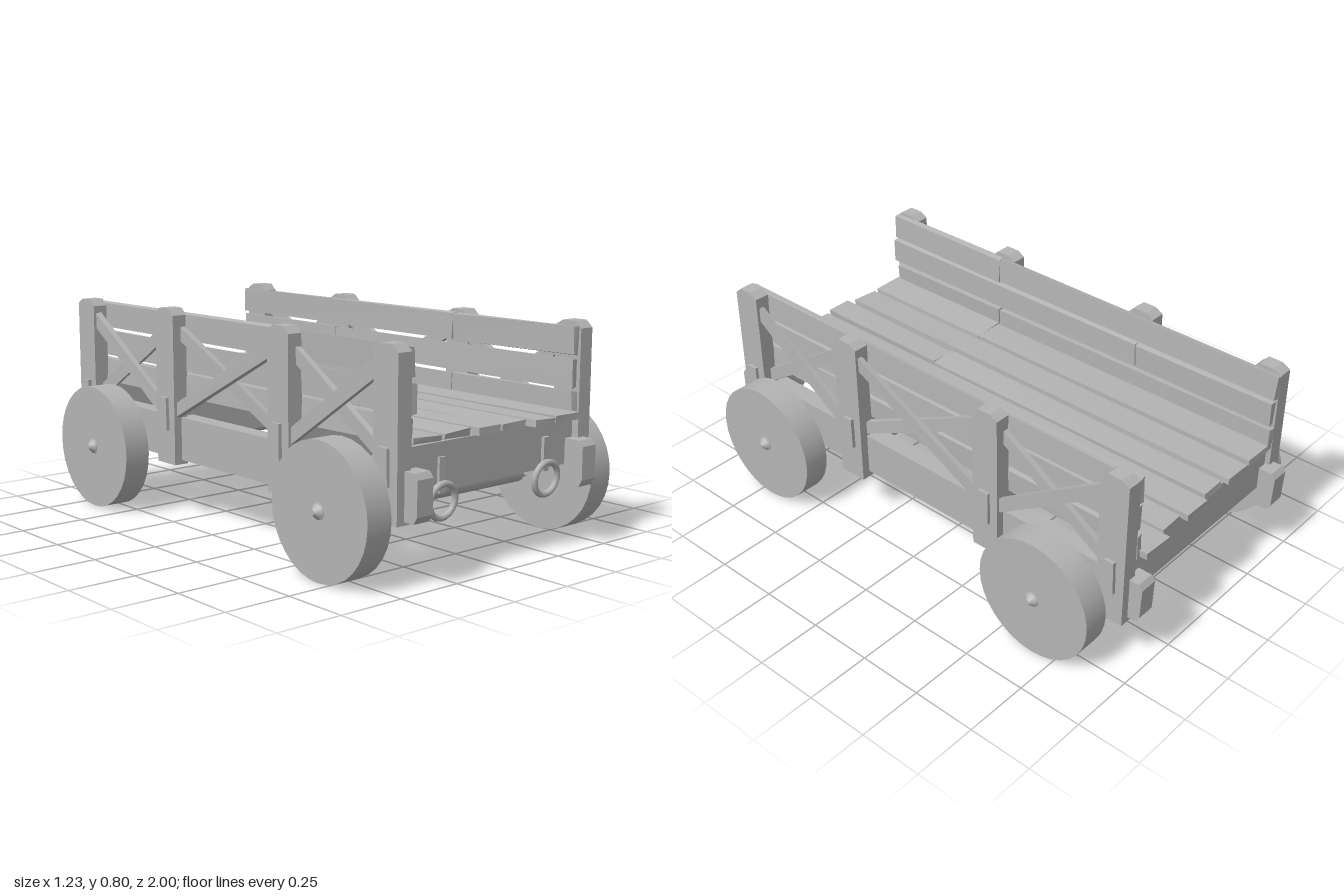
import * as THREE from 'three';

export function createModel() {
  const group = new THREE.Group();
  const wood = new THREE.MeshStandardMaterial({ color: 0xb4b4b4 });
  wood.name = 'plain grey';

  let seed = 7;
  const wobble = (amount) => {
    seed = (seed * 16807) % 2147483647;
    return (seed / 2147483647 - 0.5) * 2 * amount;
  };

  function add(name, geometry, x = 0, y = 0, z = 0) {
    const mesh = new THREE.Mesh(geometry, wood);
    mesh.name = name;
    mesh.position.set(x, y, z);
    group.add(mesh);
    return mesh;
  }

  // Hand-cut timber: a box whose eight corners are nudged slightly
  function timberGeometry(w, h, d, rough) {
    const geo = new THREE.BoxGeometry(w, h, d);
    const nudges = Array.from({ length: 8 }, () => [wobble(rough * 0.5), wobble(rough), wobble(rough)]);
    const p = geo.attributes.position;
    for (let i = 0; i < p.count; i++) {
      const x = p.getX(i), y = p.getY(i), z = p.getZ(i);
      const n = nudges[(x > 0 ? 1 : 0) + (y > 0 ? 2 : 0) + (z > 0 ? 4 : 0)];
      p.setXYZ(i, x + n[0], y + n[1], z + n[2]);
    }
    geo.computeVertexNormals();
    return geo;
  }

  function timber(name, [x0, x1], [y0, y1], [z0, z1], rough = 0.003) {
    return add(name, timberGeometry(x1 - x0, y1 - y0, z1 - z0, rough),
      (x0 + x1) / 2, (y0 + y1) / 2, (z0 + z1) / 2);
  }

  // Side profile given as [z, y] points, given thickness along x
  function sideProfile(name, points, x, thickness) {
    const shape = new THREE.Shape(points.map(([z, y]) => new THREE.Vector2(-z, y)));
    const geo = new THREE.ExtrudeGeometry(shape, { depth: thickness, bevelEnabled: false });
    geo.translate(0, 0, -thickness / 2);
    geo.rotateY(Math.PI / 2);
    return add(name, geo, x, 0, 0);
  }

  const stations = [0.885, 0.345, -0.335, -0.89];
  const axles = [0.705, -0.66];

  // Deck planks, each in two lengths
  const planks = [
    [-0.385, -0.26, -0.945, 0.93], [-0.24, -0.125, -0.95, 0.925], [-0.1, 0, -0.935, 0.945],
    [0.02, 0.135, -0.96, 0.94], [0.15, 0.25, -0.94, 0.97], [0.265, 0.39, -0.98, 0.96],
  ];
  planks.forEach(([x0, x1, z0, z1], i) => {
    const seam = i < 3 ? 0.35 : -0.33;
    for (const span of [[z0, seam - 0.001], [seam + 0.001, z1]]) {
      const plank = timber('deckPlank', [x0, x1], [0.463, 0.486], span);
      plank.rotation.z = wobble(0.03);
    }
  });

  // Cross beams with narrow tenons running out through the posts
  for (const z of stations) {
    timber('crossBeam', [-0.4, 0.4], [0.3, 0.462], [z - 0.042, z + 0.036]);
    timber('crossBeamTenon', [-0.48, 0.48], [0.337, 0.465], [z - 0.022, z + 0.022]);
  }

  for (const s of [1, -1]) {
    const side = s > 0 ? 'left' : 'right';

    // Long chassis rail with eased ends
    sideProfile(side + 'Rail', [
      [1, 0.25], [1, 0.37], [0.985, 0.39], [-0.985, 0.39],
      [-1, 0.37], [-0.995, 0.25], [-0.98, 0.225], [0.985, 0.225],
    ], s * 0.4, 0.07);

    // Upright posts with chamfered tops
    for (const z of stations) {
      const w = 0.057, top = 0.798 + wobble(0.006), bottom = 0.205 + wobble(0.01);
      sideProfile(side + 'Post', [
        [z - w, bottom], [z + w, bottom], [z + w, top - 0.025],
        [z + 0.03, top], [z - 0.025, top], [z - w, top - 0.018],
      ], s * 0.437, 0.06);
    }

    // Three rows of side boards
    [[0.462, 0.553], [0.567, 0.667], [0.683, 0.782]].forEach((rows, i) => {
      const ends = [-0.945 + wobble(0.01), i === 1 ? -0.335 : 0.345, 0.93 + wobble(0.01)];
      for (let k = 0; k < 2; k++) {
        const xs = s > 0 ? [0.383, 0.408] : [-0.408, -0.383];
        const board = timber(side + 'SideBoard', xs, rows, [ends[k] + 0.001, ends[k + 1] - 0.001], 0.004);
        board.rotation.z = wobble(0.05);
      }
    });

    // Crossed braces between neighbouring posts
    for (let i = 0; i < 3; i++) {
      const za = stations[i] - 0.045, zb = stations[i + 1] + 0.045;
      [[0.72, 0.415, 0.445], [0.42, 0.71, 0.423]].forEach(([ya, yb, x]) => {
        // In the rear bay the outer brace climbs towards the back
        const [y0, y1] = i === 2 ? [yb, ya] : [ya, yb];
        const length = Math.hypot(za - zb, y0 - y1);
        const brace = add(side + 'Brace', timberGeometry(0.021, 0.05, length, 0.003),
          s * x, (y0 + y1) / 2, (za + zb) / 2);
        brace.rotation.x = -Math.atan2(y0 - y1, za - zb);
      });
    }

    // Wheels and pointed axle ends
    for (const z of axles) {
      const wheel = add(side + 'Wheel', new THREE.CylinderGeometry(0.238, 0.238, 0.102, 32), s * 0.541, 0.238, z);
      wheel.rotation.z = Math.PI / 2;
      const cap = add(side + 'AxleCap', new THREE.CylinderGeometry(0.008, 0.032, 0.024, 16), s * 0.602, 0.24, z);
      cap.rotation.z = -s * Math.PI / 2;
    }

    // Front pull ring on an iron strap
    timber(side + 'RingStrap', [s * 0.254 - 0.014, s * 0.254 + 0.014], [0.29, 0.41], [0.916, 0.932], 0.001);
    const ring = add(side + 'PullRing', new THREE.TorusGeometry(0.059, 0.0115, 10, 20), s * 0.254, 0.264, 0.932);
    ring.rotation.x = 0.1;
  }

  // Axles: thin rod inside a thicker beam
  for (const z of axles) {
    for (const [name, r, length] of [['axleRod', 0.029, 1.19], ['axleBeam', 0.041, 0.705]]) {
      const axle = add(name, new THREE.CylinderGeometry(r, r, length, 20), 0, 0.24, z);
      axle.rotation.z = Math.PI / 2;
    }
  }

  return group;
}
